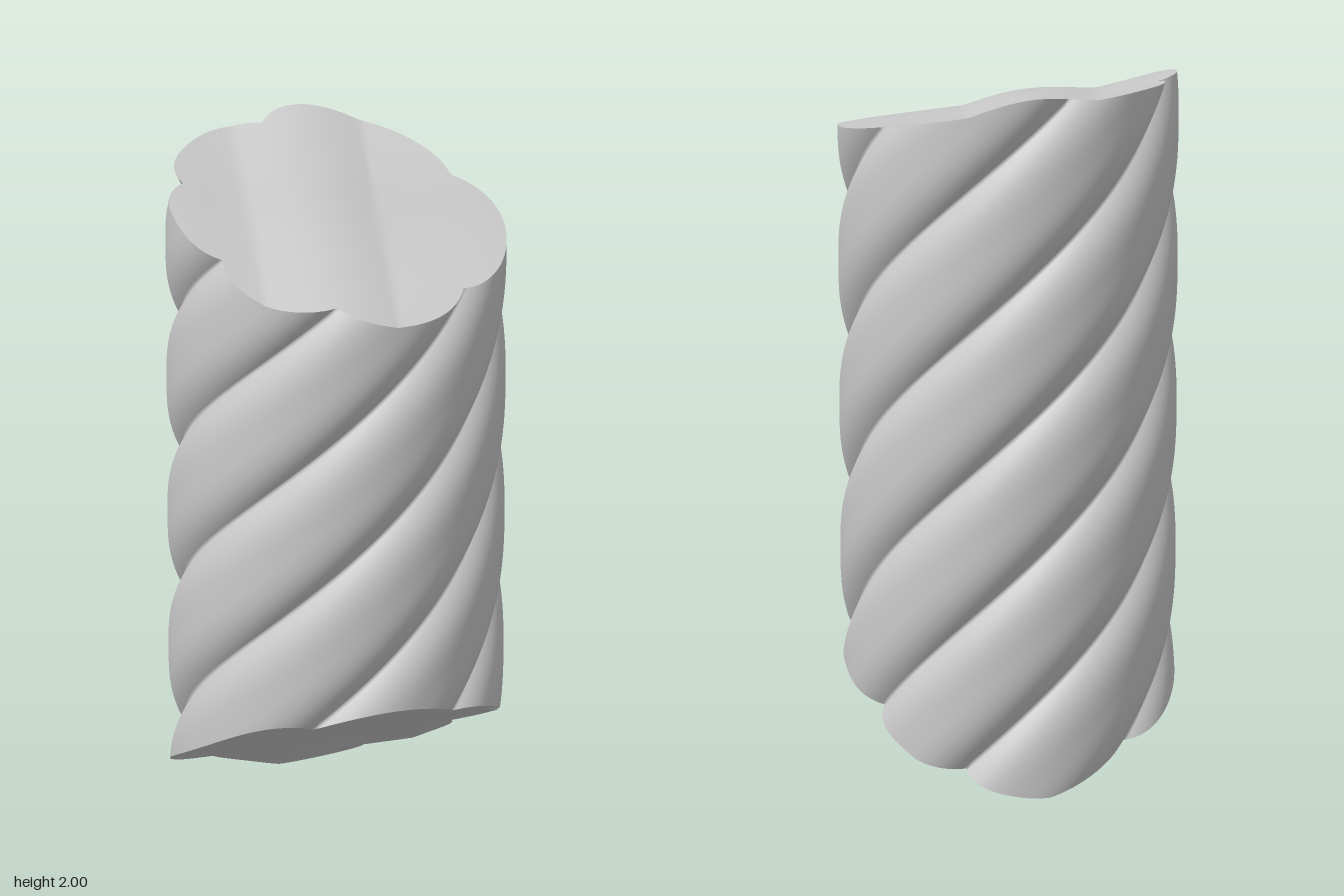
import * as THREE from 'three';

const LOBES = 6, PITCH = 2.46, TWIST = 2 * Math.PI / PITCH;
const COLS = 288, ROWS = 90, RINGS = 24;

// Uneven broken stone: soft dents plus sharper ridges
const rough = (x, z, s) =>
  0.011 * Math.sin(7 * x + 4 * z + s) + 0.008 * Math.sin(9 * z - 6 * x + 2 * s)
  + 0.014 * (Math.abs(Math.sin(5 * x - 7 * z + 3 * s)) - 0.6);

// Slanted fracture surfaces
const topHeight = (x, z) => 1.868 - 0.27 * x - 0.01 * z + rough(x, z, 0.7);
const bottomHeight = (x, z) => 0.287 + 0.53 * x + 0.26 * z + rough(x, z, 2.4);

// Point on the twisted shaft; u follows a lobe upwards, so grooves stay crisp
function shaftPoint(u, y) {
  const t = (u * LOBES / (2 * Math.PI)) % 1;
  const groove = Math.pow(Math.abs(2 * t - 1), 3.2);
  const r = 0.459 + 0.007 * y - 0.048 * groove;
  const a = u + TWIST * (y - 0.635);
  return [r * Math.sin(a), y, r * Math.cos(a)];
}

// Where a lobe line meets a fracture
function rimPoint(u, height) {
  let y = height(0, 0);
  for (let i = 0; i < 80; i++) {
    const p = shaftPoint(u, y);
    y += 0.6 * (height(p[0], p[2]) - y);
  }
  return shaftPoint(u, y);
}

// Grid surface closed around u
function gridMesh(name, rows, pointAt, flip) {
  const pos = [], index = [];
  for (let j = 0; j <= rows; j++)
    for (let i = 0; i < COLS; i++) pos.push(...pointAt(i, j / rows));
  for (let j = 0; j < rows; j++)
    for (let i = 0; i < COLS; i++) {
      const n = (i + 1) % COLS;
      const a = j * COLS + i, b = j * COLS + n, c = a + COLS, d = b + COLS;
      if (flip) index.push(a, c, b, b, c, d);
      else index.push(a, b, c, b, d, c);
    }
  const g = new THREE.BufferGeometry();
  g.setAttribute('position', new THREE.Float32BufferAttribute(pos, 3));
  g.setIndex(index);
  g.computeVertexNormals();
  const mesh = new THREE.Mesh(g, new THREE.MeshStandardMaterial({ color: 0xcccccc, side: THREE.DoubleSide }));
  mesh.name = name;
  return mesh;
}

export function createModel() {
  const group = new THREE.Group();
  group.name = 'brokenTwistedColumn';
  const angles = Array.from({ length: COLS }, (_, i) => 2 * Math.PI * i / COLS);
  const top = angles.map(u => rimPoint(u, topHeight));
  const bottom = angles.map(u => rimPoint(u, bottomHeight));

  // Rope-twisted shaft between the two fractures
  group.add(gridMesh('twistedShaft', ROWS, (i, v) =>
    shaftPoint(angles[i], bottom[i][1] + v * (top[i][1] - bottom[i][1])), false));

  // Broken ends, from rim to a tiny centre ring
  const cap = (rim, height) => (i, v) => {
    const s = 1 - 0.999 * v, x = rim[i][0] * s, z = rim[i][2] * s;
    return [x, height(x, z), z];
  };
  group.add(gridMesh('topFracture', RINGS, cap(top, topHeight), false));
  group.add(gridMesh('bottomFracture', RINGS, cap(bottom, bottomHeight), true));
  return group;
}
